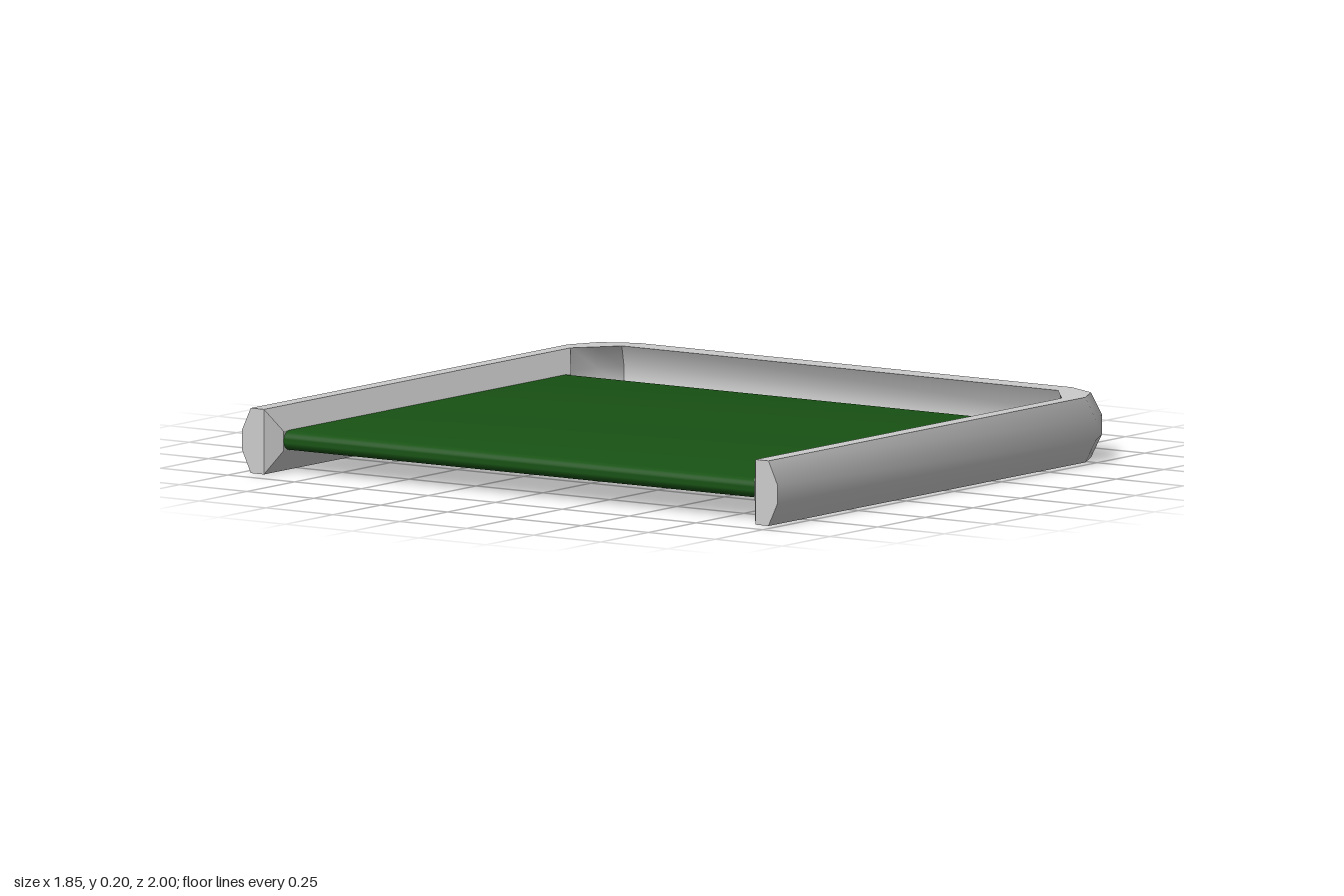
import * as THREE from 'three';
import { toCreasedNormals } from 'three/addons/utils/BufferGeometryUtils.js';

const H = 0.2;              // height of the frame
const LO = 0.07, HI = 0.13; // band shared by the rim, the groove and the panel
const grey = new THREE.MeshStandardMaterial({ color: 0xcccccc });
const green = new THREE.MeshStandardMaterial({ color: 0x185214 });

// Stations along half of the U: [x, z] of the outer rim, top edge, inner edge and groove
const half = [
  { o: [-0.925, 1], t: [-0.925, 0.967], i: [-0.925, 0.918], g: [-0.925, 0.918] },
  { o: [0.745, 1], t: [0.735, 0.967], i: [0.68, 0.918], g: [0.68, 0.918] },
  { o: [0.86, 0.94], t: [0.83, 0.92], i: [0.742, 0.866], g: [0.775, 0.89] },
  { o: [0.923, 0.83], t: [0.885, 0.81], i: [0.805, 0.815], g: [0.845, 0.835] },
];

function mesh(name, geometry, material) {
  const m = new THREE.Mesh(geometry, material);
  m.name = name;
  return m;
}

// Closed cross-section of the frame at one station
function ring({ o, t, i, g }, s) {
  return [[i, H], [t, H], [o, HI], [o, LO], [t, 0], [i, 0], [g, LO], [g, HI]]
    .map(([p, y]) => [p[0], y, p[1] * s]);
}

// U-shaped frame: skin the cross-sections and cap both open ends
function frameGeometry() {
  const rings = [
    ...half.map((p) => ring(p, 1)),
    ...half.slice().reverse().map((p) => ring(p, -1)),
  ];
  const n = rings[0].length, last = rings.length - 1;
  const pos = [];
  const tri = (...pts) => pts.forEach((p) => pos.push(...p));
  for (let k = 0; k < last; k++) {
    for (let j = 0; j < n; j++) {
      const a = rings[k][j], b = rings[k][(j + 1) % n];
      const c = rings[k + 1][(j + 1) % n], d = rings[k + 1][j];
      tri(a, b, c);
      tri(a, c, d);
    }
  }
  for (let j = 1; j < n - 1; j++) {
    const at = (r, q) => rings[r][(q + 2) % n];
    tri(at(0, 0), at(0, j + 1), at(0, j));
    tri(at(last, 0), at(last, j), at(last, j + 1));
  }
  const geo = new THREE.BufferGeometry();
  geo.setAttribute('position', new THREE.Float32BufferAttribute(pos, 3));
  return toCreasedNormals(geo, 0.7);
}

// Tapered mount that narrows from the rail's inner face to the panel's edge
function mountGeometry(side) {
  const geo = new THREE.BoxGeometry(1, 1, 0.038);
  const p = geo.attributes.position;
  for (let k = 0; k < p.count; k++) {
    const inner = p.getZ(k) * side < 0;
    p.setX(k, p.getX(k) * (inner ? 1.505 : 1.605));
    p.setY(k, p.getY(k) * (inner ? HI - LO : H));
  }
  const flat = geo.toNonIndexed();
  flat.computeVertexNormals();
  return flat;
}

// Slab with rounded long edges, running from mount to mount
function panelGeometry() {
  const r = (HI - LO) / 2, w = 0.7525 - r, depth = 1.76;
  const s = new THREE.Shape();
  s.moveTo(-w, -r);
  s.lineTo(w, -r);
  s.absarc(w, 0, r, -Math.PI / 2, Math.PI / 2, false);
  s.lineTo(-w, r);
  s.absarc(-w, 0, r, Math.PI / 2, Math.PI * 1.5, false);
  const geo = new THREE.ExtrudeGeometry(s, { depth, bevelEnabled: false, curveSegments: 8 });
  geo.translate(0, 0, -depth / 2);
  return toCreasedNormals(geo, 0.6);
}

export function createModel() {
  const model = new THREE.Group();
  model.name = 'framedPanel';

  model.add(mesh('frame', frameGeometry(), grey));

  for (const side of [1, -1]) {
    const mount = mesh(side > 0 ? 'frontMount' : 'backMount', mountGeometry(side), grey);
    mount.position.set(-0.1225, H / 2, side * 0.899);
    model.add(mount);
  }

  const panel = mesh('panel', panelGeometry(), green);
  panel.position.set(-0.1225, H / 2, 0);
  model.add(panel);

  return model;
}
